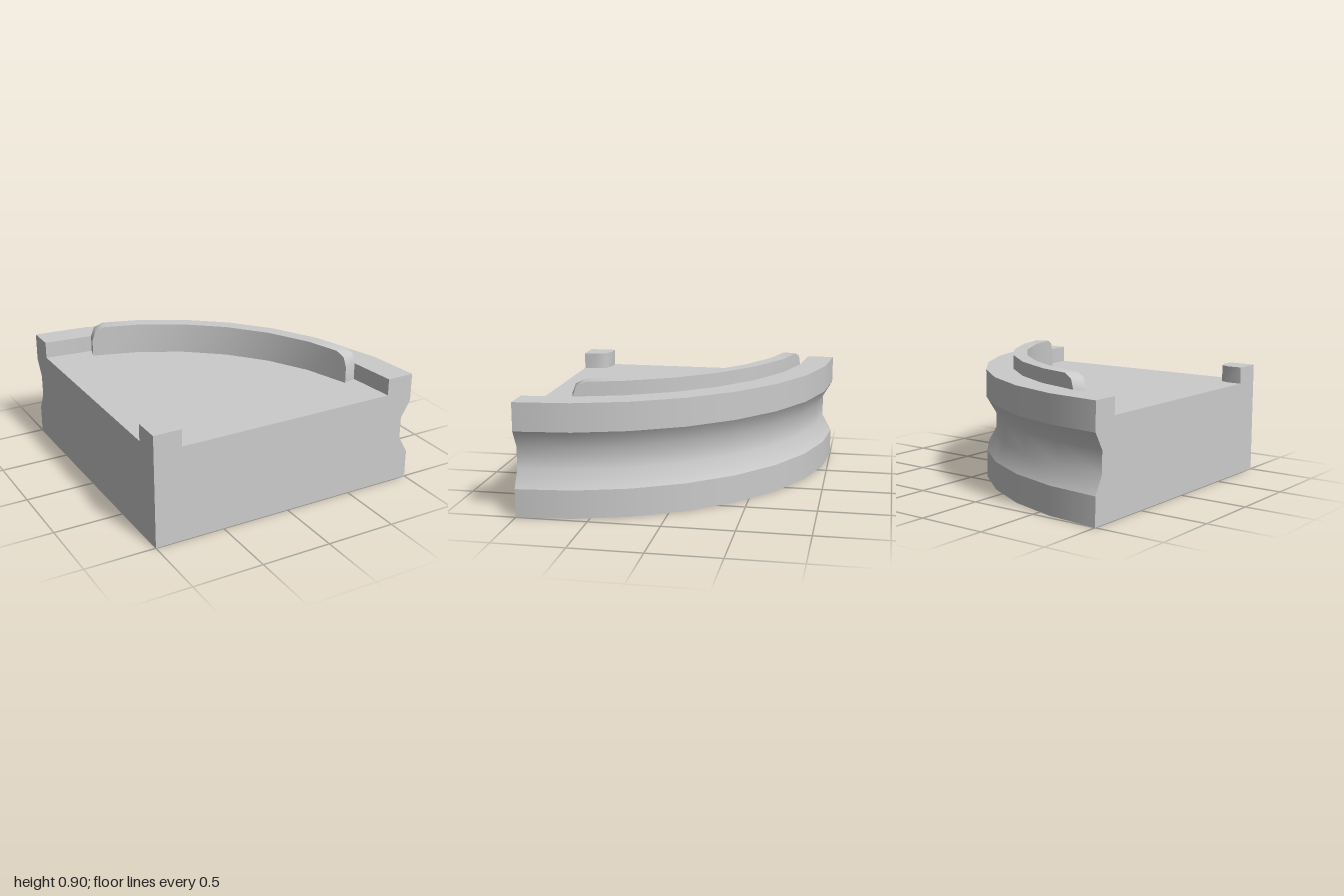
import * as THREE from 'three';
import { toCreasedNormals } from 'three/addons/utils/BufferGeometryUtils.js';

const SEGMENTS = 8;
const STEP = Math.PI / 2 / SEGMENTS;
const FLOOR = 0.68, RIM = 0.8, RIDGE_TOP = 0.9;

const toShape = (points) => new THREE.Shape(points.map(([x, y]) => new THREE.Vector2(x, y)));

// Curved guide ridge: one four-cornered section per station, capped at both ends
function ridgeGeometry(radius, width) {
  const at = (k, r) => new THREE.Vector2(r * Math.cos(k * STEP), -r * Math.sin(k * STEP));
  const bevel = [[0, RIM], [0.026, 0.87], [0.089, RIDGE_TOP]];

  // Rounded end, square to the first or last straight piece
  const end = (k, next) => {
    const outer = at(k, radius);
    const along = at(next, radius).sub(outer).normalize();
    const inward = at((k + next) / 2, 1).multiplyScalar(-width);
    return bevel.map(([s, top]) => {
      const o = outer.clone().addScaledVector(along, s);
      return { o, i: o.clone().add(inward), top };
    });
  };

  const stations = end(1, 2);
  for (let k = 2; k < SEGMENTS - 1; k++) {
    stations.push({ o: at(k, radius), i: at(k, radius - width), top: RIDGE_TOP });
  }
  stations.push(...end(SEGMENTS - 1, SEGMENTS - 2).reverse());

  const positions = [], index = [];
  stations.forEach(({ o, i, top }, s) => {
    positions.push(i.x, FLOOR, i.y, o.x, FLOOR, o.y, o.x, top, o.y, i.x, top, i.y);
    if (s === stations.length - 1) return;
    for (let j = 0; j < 4; j++) {
      const a = s * 4 + j, d = s * 4 + (j + 1) % 4;
      index.push(a, a + 4, d + 4, a, d + 4, d);
    }
  });
  const e = (stations.length - 1) * 4;
  index.push(0, 1, 2, 0, 2, 3, e, e + 2, e + 1, e, e + 3, e + 2);

  const geometry = new THREE.BufferGeometry();
  geometry.setAttribute('position', new THREE.Float32BufferAttribute(positions, 3));
  geometry.setIndex(index);
  return toCreasedNormals(geometry, THREE.MathUtils.degToRad(50));
}

export function createModel() {
  const model = new THREE.Group();
  model.name = 'quarterDisc';
  const material = new THREE.MeshStandardMaterial({ color: 0xcccccc });

  // All parts are laid out around the corner of the quarter circle
  const corner = new THREE.Group();
  corner.name = 'sector';
  corner.position.set(-1, 0, 1);
  model.add(corner);

  const add = (name, geometry) => {
    const mesh = new THREE.Mesh(geometry, material);
    mesh.name = name;
    corner.add(mesh);
  };

  // Quarter-turn surfaces, split wherever an edge is sharp
  const bands = {
    base: [[0, 0], [2, 0]],
    lowerWall: [[2, 0], [2, 0.2]],
    groove: [[2, 0.2], [1.93, 0.325], [1.93, 0.48], [2, 0.6]],
    upperWall: [[2, 0.6], [2, RIM]],
    rimTop: [[2, RIM], [1.8, RIM]],
    rimInside: [[1.8, RIM], [1.8, FLOOR]],
    floor: [[1.8, FLOOR], [0, FLOOR]],
  };
  for (const [name, points] of Object.entries(bands)) {
    const profile = points.map(([r, y]) => new THREE.Vector2(r, y));
    const geometry = new THREE.LatheGeometry(profile, SEGMENTS, Math.PI / 2, Math.PI / 2);
    geometry.normalizeNormals();
    add(name, geometry);
  }

  // The two straight cut sides follow the bands and close over the corner post
  const outline = Object.values(bands).flatMap((points) => points.slice(0, -1));
  outline.push([0.2, FLOOR], [0.2, RIM], [0, RIM]);
  const cut = (sign) => new THREE.ShapeGeometry(toShape(outline.map(([r, y]) => [sign * r, y])));
  add('frontSide', cut(1));
  add('rightSide', cut(-1).rotateY(-Math.PI / 2));

  // Small rounded post at the corner: a top and a bent wall
  const rounded = [[0.2, 0], [0.2, 0.1], [0.17, 0.17], [0.1, 0.2], [0, 0.2]];
  add('postTop', new THREE.ShapeGeometry(toShape([[0, 0], ...rounded]))
    .rotateX(-Math.PI / 2).translate(0, RIM, 0));
  const wall = new THREE.PlaneGeometry(1, RIM - FLOOR, rounded.length - 1, 1)
    .translate(0, (RIM + FLOOR) / 2, 0);
  const position = wall.attributes.position;
  for (let i = 0; i < position.count; i++) {
    const [x, depth] = rounded[i % rounded.length];
    position.setX(i, x).setZ(i, -depth);
  }
  wall.computeVertexNormals();
  add('postWall', wall);

  add('guideRidge', ridgeGeometry(1.8, 0.1));
  return model;
}
